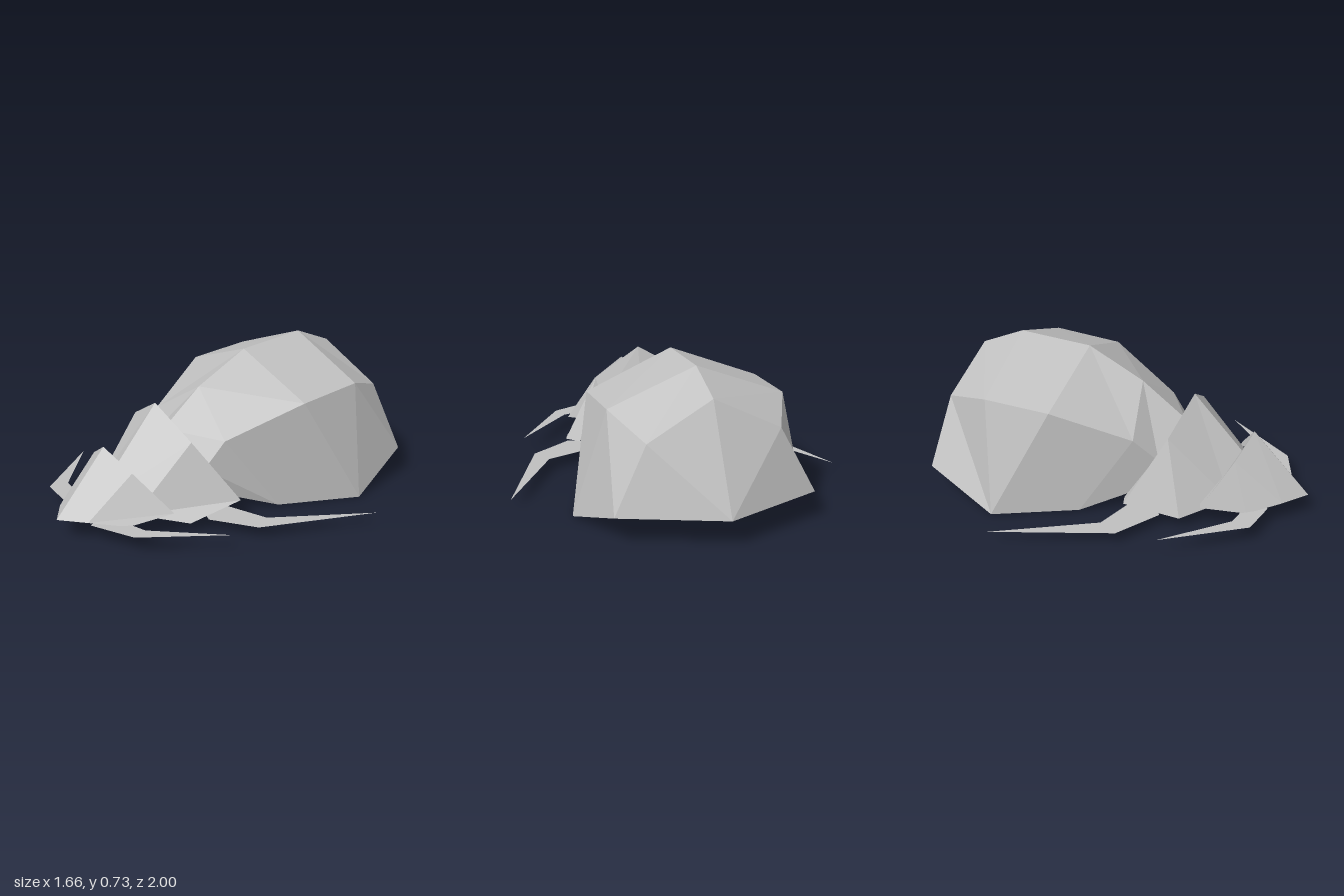
import * as THREE from 'three';

const shellGrey = new THREE.MeshStandardMaterial({ color: 0xbfbfbf, flatShading: true, side: THREE.DoubleSide });
shellGrey.name = 'shellGrey';

// Open faceted shell through cross-sections, listed front to rear, each from the model's -x... +x arch
function shell(name, sections) {
  const n = sections[0].length;
  const index = [];
  for (let i = 0; i < sections.length - 1; i++) {
    for (let j = 0; j < n - 1; j++) {
      const a = i * n + j, b = a + 1, c = a + n, d = c + 1;
      index.push(a, c, b, b, c, d);
    }
  }
  const indexed = new THREE.BufferGeometry();
  indexed.setAttribute('position', new THREE.Float32BufferAttribute(sections.flat(2), 3));
  indexed.setIndex(index);
  const geometry = indexed.toNonIndexed();
  geometry.computeVertexNormals();
  const mesh = new THREE.Mesh(geometry, shellGrey);
  mesh.name = name;
  return mesh;
}

// Flat bent leg, outlined by x, z points at one height
function leg(name, y, outline) {
  const shape = new THREE.Shape(outline.map(([x, z]) => new THREE.Vector2(x, -z)));
  const geometry = new THREE.ShapeGeometry(shape).rotateX(-Math.PI / 2).translate(0, y, 0);
  const mesh = new THREE.Mesh(geometry, shellGrey);
  mesh.name = name;
  return mesh;
}

export function createModel() {
  const group = new THREE.Group();
  group.name = 'beetle';

  // Domed abdomen, open underneath, closing to a point at the rear
  const tip = [0.08, 0.14, -1];
  group.add(shell('abdomen', [
    [[0.15, 0.11, 0.29], [0.14, 0.25, 0.34], [-0.12, 0.4, 0.36], [-0.33, 0.26, 0.27], [-0.36, 0.11, 0.19]],
    [[0.35, 0.01, 0.02], [0.185, 0.38, 0.24], [-0.09, 0.57, 0.135], [-0.38, 0.385, 0.15], [-0.47, 0.01, -0.1]],
    [[0.585, 0, -0.345], [0.4, 0.535, -0.11], [-0.04, 0.71, -0.15], [-0.475, 0.535, -0.245], [-0.595, 0, -0.52]],
    [[0.585, 0, -0.345], [0.45, 0.56, -0.455], [0.015, 0.73, -0.52], [-0.43, 0.55, -0.58], [-0.595, 0, -0.52]],
    [[0.545, 0.14, -0.735], [0.375, 0.465, -0.72], [0.04, 0.635, -0.735], [-0.28, 0.47, -0.815], [-0.44, 0.14, -0.88]],
    [tip, tip, tip, tip, tip],
  ]));

  // Thorax plate: lower front edge, raised rear rim, lip turned inward
  group.add(shell('thoraxPlate', [
    [[0.235, 0.06, 0.54], [0.03, 0.1, 0.71], [-0.18, 0.11, 0.81], [-0.345, 0.1, 0.63], [-0.51, 0.06, 0.41]],
    [[0.345, 0.135, 0.3], [0.12, 0.41, 0.41], [-0.13, 0.55, 0.405], [-0.365, 0.41, 0.32], [-0.54, 0.125, 0.14]],
    [[0.28, 0.12, 0.265], [0.11, 0.29, 0.345], [-0.11, 0.37, 0.325], [-0.33, 0.29, 0.265], [-0.47, 0.12, 0.13]],
  ]));

  // Head plate, a smaller version with a pointed nose
  group.add(shell('headPlate', [
    [[0.07, 0.08, 0.79], [-0.075, 0.1, 0.92], [-0.21, 0.1, 1], [-0.32, 0.1, 0.885], [-0.42, 0.08, 0.725]],
    [[0.2, 0.13, 0.615], [0, 0.305, 0.695], [-0.175, 0.4, 0.715], [-0.325, 0.305, 0.645], [-0.5, 0.13, 0.51]],
    [[0.15, 0.12, 0.6], [-0.015, 0.22, 0.65], [-0.17, 0.28, 0.655], [-0.3, 0.22, 0.6], [-0.45, 0.12, 0.5]],
  ]));

  // Thin flat legs sweeping backwards
  group.add(leg('rearLegLeft', 0.06,
    [[0.83, -0.16], [0.465, 0.245], [0.2, 0.285], [0.13, 0.36], [0.27, 0.45], [0.505, 0.35]]));
  group.add(leg('rearLegRight', 0.06,
    [[-0.835, -0.46], [-0.63, 0.05], [-0.4, 0.16], [-0.37, 0.26], [-0.5, 0.31], [-0.705, 0.14]]));
  group.add(leg('frontLegLeft', 0.085,
    [[0.5, 0.525], [0.16, 0.77], [0.03, 0.78], [-0.09, 0.84], [-0.07, 0.91], [0.175, 0.855]]));
  group.add(leg('frontLegRight', 0.085,
    [[-0.755, 0.345], [-0.51, 0.67], [-0.38, 0.71], [-0.31, 0.78], [-0.36, 0.82], [-0.545, 0.76]]));

  return group;
}
